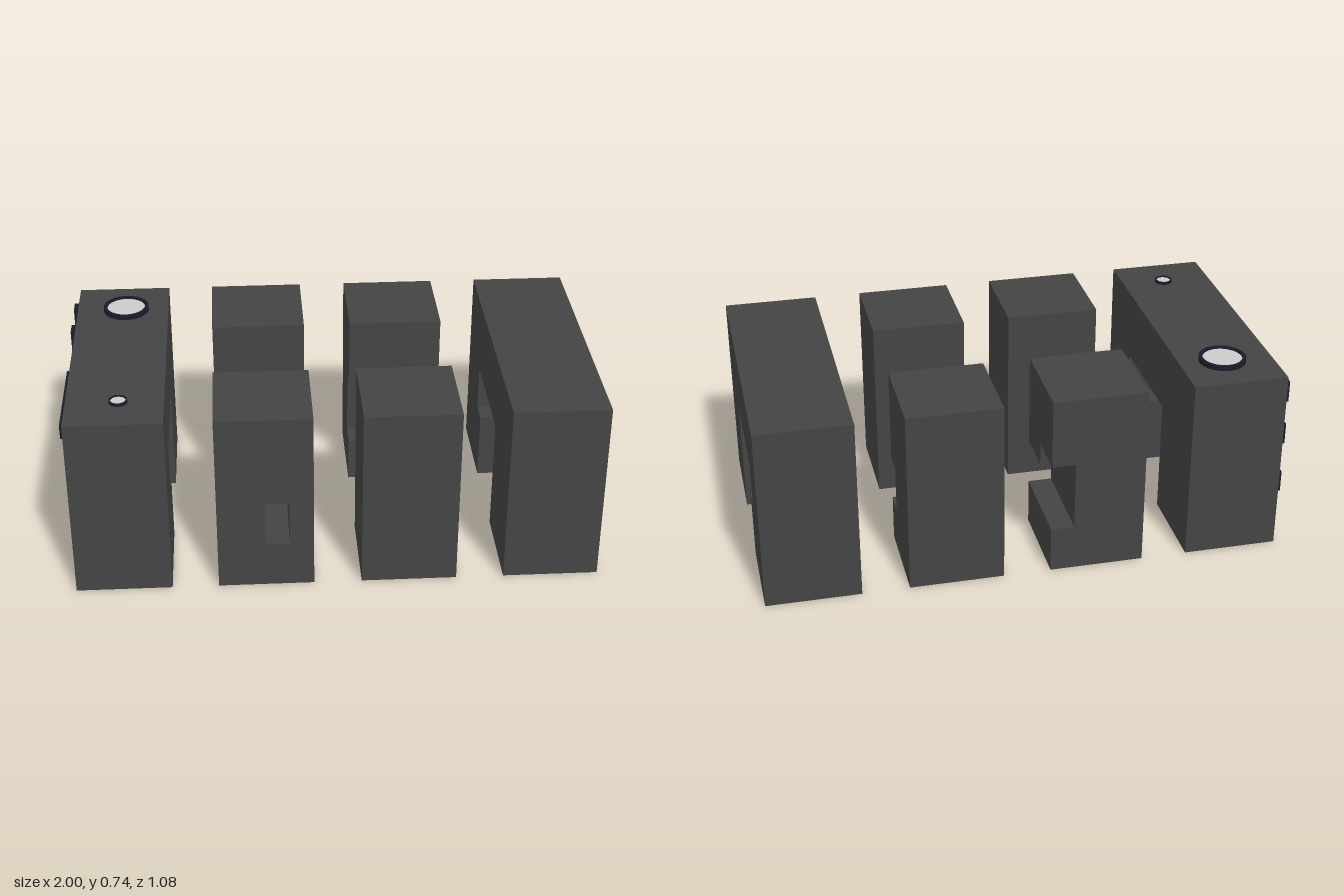
import * as THREE from 'three';

const H = 0.72, D = 0.54, W = 0.36;
const body = new THREE.MeshStandardMaterial({ color: 0x444444 });
const trim = new THREE.MeshStandardMaterial({ color: 0x1c1a2a });
const glass = new THREE.MeshStandardMaterial({ color: 0xcccccc });

function shapeOf(points) {
  return new THREE.Shape(points.map(([x, y]) => new THREE.Vector2(x, y)));
}
const rect = (x0, y0, x1, y1) => [[x0, y0], [x1, y0], [x1, y1], [x0, y1]];

function mesh(parent, name, geometry, material = body) {
  const m = new THREE.Mesh(geometry, material);
  m.name = name;
  parent.add(m);
  return m;
}

// Profile in (x, y), swept along z from z0
function alongZ(shape, z0, depth) {
  return new THREE.ExtrudeGeometry(shape, { depth, bevelEnabled: false }).translate(0, 0, z0);
}
// Profile in (-z, y), swept along x from x0
function alongX(shape, x0, depth) {
  return new THREE.ExtrudeGeometry(shape, { depth, bevelEnabled: false })
    .rotateY(Math.PI / 2).translate(x0, 0, 0);
}

// Long arched bar; side = 1 cuts the extra step in the back leg, -1 in the front leg
function archShape(side) {
  const pts = [[-D, 0], [-0.18, 0], [-0.18, 0.45], [0.27, 0.45], [0.27, 0.27], [0.18, 0.27], [0.18, 0], [D, 0], [D, H], [-D, H]];
  return shapeOf(side > 0 ? pts : pts.map(([u, y]) => [-u, y]).reverse());
}

// Square frame with a pane set in it, on the outer face of the right bar
function sideWindow(parent, name, z0, z1, y0, y1, rim) {
  const g = new THREE.Group();
  g.name = name;
  const s = shapeOf(rect(-z1, y0, -z0, y1));
  s.holes.push(new THREE.Path(rect(-z1 + rim, y0 + rim, -z0 - rim, y1 - rim).map(p => new THREE.Vector2(...p))));
  mesh(g, 'windowFrame', alongX(s, -1, 0.025), trim);
  mesh(g, 'windowPane', new THREE.BoxGeometry(0.012, y1 - y0 - rim, z1 - z0 - rim)
    .translate(-0.981, (y0 + y1) / 2, (z0 + z1) / 2), glass);
  parent.add(g);
}

// Round port with a raised rim on top of the bar
function topPort(parent, name, z, radius, inner, height) {
  const g = new THREE.Group();
  g.name = name;
  const ring = [[inner, 0], [radius, 0], [radius, height], [inner, height], [inner, 0]];
  // Separate lathes per side keep the rim edges sharp
  for (let i = 0; i < 4; i++) {
    const pair = [ring[i], ring[i + 1]].map(p => new THREE.Vector2(...p));
    mesh(g, 'portRim', new THREE.LatheGeometry(pair, 48), trim);
  }
  mesh(g, 'portGlass', new THREE.CylinderGeometry(inner, inner, height * 0.6, 48)
    .translate(0, height * 0.3, 0), glass);
  g.position.set(-0.782, H, z);
  parent.add(g);
}

export function createModel() {
  const model = new THREE.Group();
  model.name = 'notchedBlocks';

  // Two long arched bars at the ends
  mesh(model, 'leftBar', alongX(archShape(1), 0.64, W));
  const rightBar = new THREE.Group();
  rightBar.name = 'rightBar';
  model.add(rightBar);
  mesh(rightBar, 'barBody', alongX(archShape(-1), -0.975, W));

  // Front blocks: one solid, one with a tunnel
  mesh(model, 'frontSolidBlock', new THREE.BoxGeometry(W, H, W).translate(0.28, H / 2, 0.36));
  const tunnel = shapeOf(rect(-0.44, 0, -0.08, H));
  tunnel.holes.push(new THREE.Path(rect(-0.26, 0.18, -0.17, 0.36).map(p => new THREE.Vector2(...p))));
  mesh(model, 'frontTunnelBlock', alongZ(tunnel, 0.18, W));

  // Back blocks: each has a stepped edge channel, high in one half and low in the other
  for (const [start, top] of [[0, 0.45], [0.18, 0.36]]) {
    mesh(model, 'backRightBlock', alongZ(shapeOf([
      [-0.44, 0], [-0.08, 0], [-0.08, 0.18], [-0.17, 0.18], [-0.17, top], [-0.08, top], [-0.08, H], [-0.44, H],
    ]), -D + start, 0.18));
    mesh(model, 'backLeftBlock', alongX(shapeOf([
      [0.18, 0], [D, 0], [D, H], [0.18, H], [0.18, top], [0.27, top], [0.27, 0.18], [0.18, 0.18],
    ]), 0.1 + start, 0.18));
  }

  // Windows on the outer side of the right bar
  for (const y of [0.595, 0.415, 0.205]) {
    for (const z of [-0.5, -0.31]) sideWindow(rightBar, 'smallWindow', z, z + 0.06, y, y + 0.085, 0.012);
  }
  sideWindow(rightBar, 'longWindow', -0.01, 0.4, 0.585, 0.64, 0.012);

  // Ports on the top of the right bar
  topPort(rightBar, 'largePort', -0.353, 0.089, 0.075, 0.018);
  topPort(rightBar, 'smallPort', 0.378, 0.034, 0.028, 0.011);
  return model;
}
